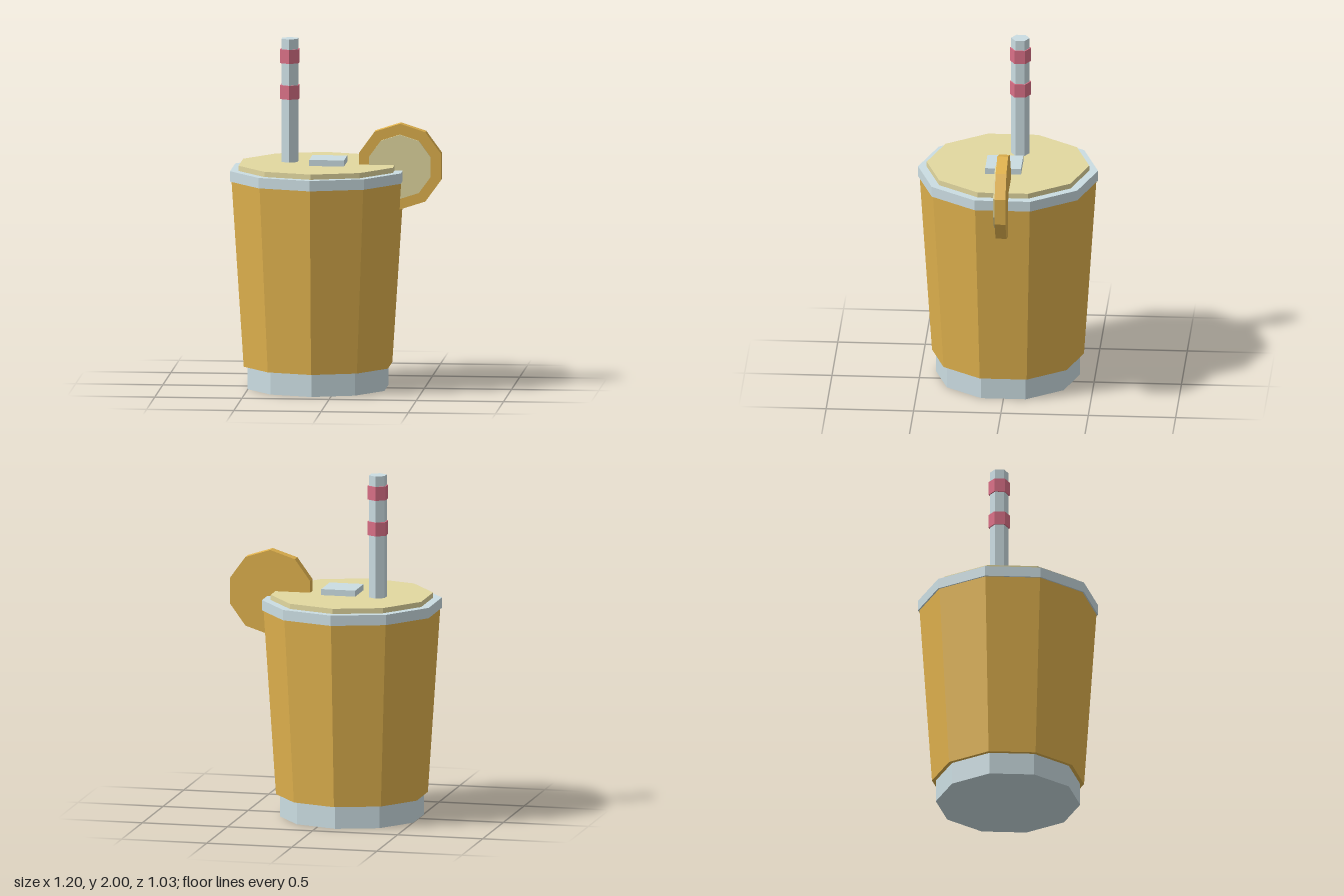
import * as THREE from 'three';

const mat = (name, color) => {
  const m = new THREE.MeshStandardMaterial({ color, flatShading: true });
  m.name = name;
  return m;
};

export function createModel() {
  const gold = mat('gold', 0xe0b24e);
  const paleGrey = mat('paleGrey', 0xcbdde2);
  const cream = mat('cream', 0xe2d8a0);
  const pink = mat('pink', 0xda7087);

  const model = new THREE.Group();
  model.name = 'drinkCup';

  const add = (parent, name, geometry, material, x, y, z) => {
    const mesh = new THREE.Mesh(geometry, material);
    mesh.name = name;
    mesh.position.set(x, y, z);
    parent.add(mesh);
    return mesh;
  };
  // Upright prism from y0 to y1
  const prism = (parent, name, rTop, rBottom, y0, y1, sides, material, x = 0, z = 0) =>
    add(parent, name, new THREE.CylinderGeometry(rTop, rBottom, y1 - y0, sides), material, x, (y0 + y1) / 2, z);

  // Ten-sided cup with lid
  const cup = new THREE.Group();
  cup.name = 'cup';
  cup.position.x = -0.11;
  model.add(cup);
  prism(cup, 'base', 0.413, 0.413, 0, 0.13, 10, paleGrey);
  prism(cup, 'body', 0.506, 0.435, 0.13, 1.2, 10, gold);
  prism(cup, 'rim', 0.515, 0.515, 1.2, 1.26, 10, paleGrey);
  prism(cup, 'lid', 0.465, 0.465, 1.26, 1.29, 10, cream);
  add(cup, 'lidTab', new THREE.BoxGeometry(0.2, 0.035, 0.205), paleGrey, 0.06, 1.3075, 0.0175);

  // Hexagonal straw with two bands
  const straw = new THREE.Group();
  straw.name = 'straw';
  straw.position.set(-0.277, 0, -0.06);
  model.add(straw);
  prism(straw, 'strawTube', 0.053, 0.053, 1.27, 2, 6, paleGrey);
  for (const y of [1.653, 1.86]) prism(straw, 'strawBand', 0.061, 0.061, y, y + 0.08, 6, pink);

  // Fruit slice standing on the rim, flesh on its front
  const slice = new THREE.Group();
  slice.name = 'fruitSlice';
  slice.position.set(0.363, 1.281, 0);
  slice.rotation.x = Math.PI / 2;
  model.add(slice);
  prism(slice, 'rind', 0.247, 0.247, -0.032, 0.03, 10, gold);
  prism(slice, 'flesh', 0.185, 0.185, 0.03, 0.042, 10, cream);

  return model;
}
